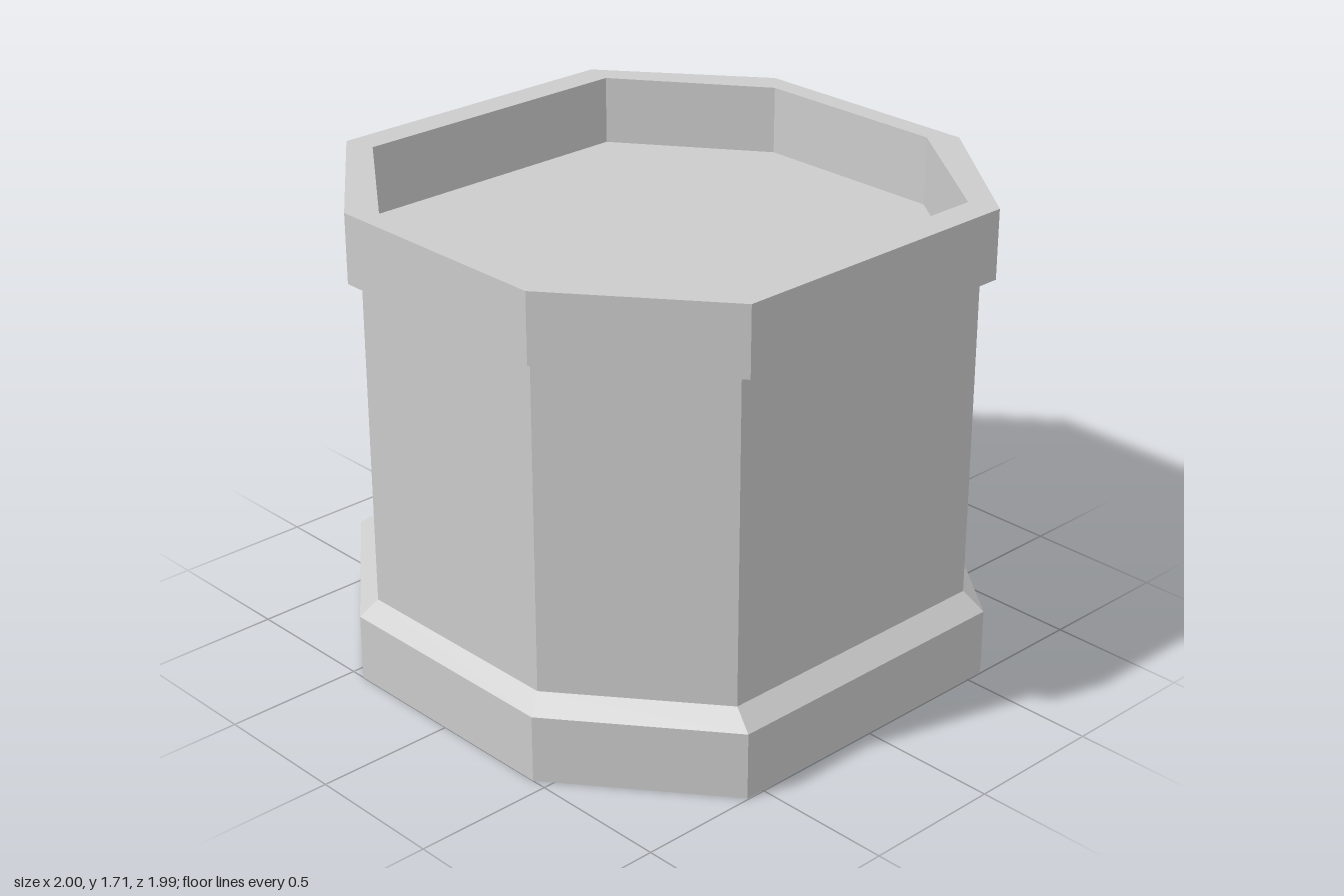
import * as THREE from 'three';

// Octagon sizes: half width, half depth, end of front edge, end of side edge
const BASE = [1.0, 0.995, 0.57, 0.445];
const BODY = [0.945, 0.92, 0.546, 0.412];
const RIM = [0.98, 0.973, 0.562, 0.44];
const RECESS = [0.9, 0.863, 0.535, 0.363];
const CENTRE = [0, 0, 0, 0];

function ring([x, z, cx, cz], y) {
  return [[x, cz], [cx, z], [-cx, z], [-x, cz], [-x, -cz], [-cx, -z], [cx, -z], [x, -cz]]
    .map(([px, pz]) => new THREE.Vector3(px, y, pz));
}

// Joins successive octagons [size, y]; outer walls run upwards in the list
function loft(name, sections) {
  const points = [];
  for (let s = 0; s + 1 < sections.length; s++) {
    const lower = ring(...sections[s]);
    const upper = ring(...sections[s + 1]);
    for (let i = 0; i < 8; i++) {
      const j = (i + 1) % 8;
      if (sections[s + 1][0] !== CENTRE) points.push(lower[i], upper[i], upper[j]);
      if (sections[s][0] !== CENTRE) points.push(lower[i], upper[j], lower[j]);
    }
  }
  const geometry = new THREE.BufferGeometry().setFromPoints(points);
  geometry.computeVertexNormals();
  const mesh = new THREE.Mesh(geometry, new THREE.MeshStandardMaterial({ color: 0xcccccc, flatShading: true }));
  mesh.name = name;
  return mesh;
}

export function createModel() {
  const model = new THREE.Group();
  model.name = 'octagonalPedestal';
  model.add(
    // Plinth with bevelled top and a hollow underside
    loft('base', [[CENTRE, 0.19], [BODY, 0.19], [BODY, 0], [BASE, 0], [BASE, 0.24], [BODY, 0.3]]),
    // Straight eight-sided wall
    loft('body', [[BODY, 0.3], [BODY, 1.465]]),
    // Overhanging rim around a sunken floor
    loft('rim', [[BODY, 1.465], [RIM, 1.465], [RIM, 1.71], [RECESS, 1.71], [RECESS, 1.465], [CENTRE, 1.465]]),
  );
  return model;
}
